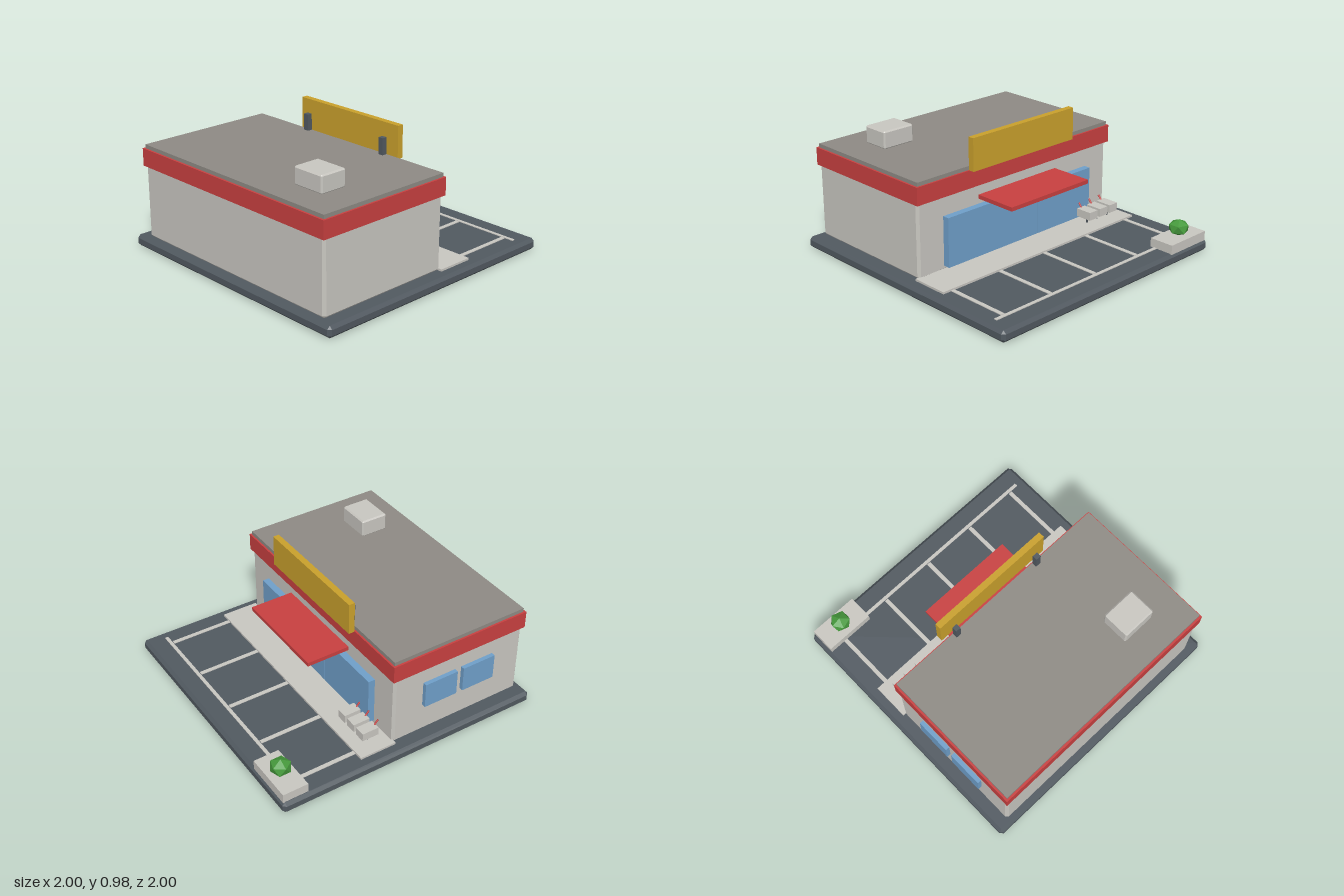
import * as THREE from 'three';
import { ConvexGeometry } from 'three/addons/geometries/ConvexGeometry.js';

const paint = (name, color) => {
  const m = new THREE.MeshStandardMaterial({ color });
  m.name = name;
  return m;
};

export function createModel() {
  const asphalt = paint('asphalt', 0x515960);
  const concrete = paint('concrete', 0xc8c6c0);
  const roofGrey = paint('roofGrey', 0x8e8a84);
  const red = paint('red', 0xc84040);
  const yellow = paint('yellow', 0xc9a02c);
  const glass = paint('glass', 0x6f9fc9);
  const green = paint('green', 0x469a3c);
  green.flatShading = true;

  const model = new THREE.Group();
  model.name = 'cornerStore';

  const add = (name, geometry, material, parent = model) => {
    const mesh = new THREE.Mesh(geometry, material);
    mesh.name = name;
    parent.add(mesh);
    return mesh;
  };

  // Box given by its limits on each axis, with optionally chamfered edges
  const block = (name, material, [x0, x1], [y0, y1], [z0, z1], chamfer = 0, parent = model) => {
    const size = [x1 - x0, y1 - y0, z1 - z0];
    let geometry;
    if (chamfer) {
      const points = [];
      for (const sx of [-1, 1]) for (const sy of [-1, 1]) for (const sz of [-1, 1])
        for (let axis = 0; axis < 3; axis++) {
          const p = [sx, sy, sz].map((s, i) => s * (size[i] / 2 - (i === axis ? 0 : chamfer)));
          points.push(new THREE.Vector3(...p));
        }
      geometry = new ConvexGeometry(points);
    } else geometry = new THREE.BoxGeometry(...size);
    const mesh = add(name, geometry, material, parent);
    mesh.position.set((x0 + x1) / 2, (y0 + y1) / 2, (z0 + z1) / 2);
    return mesh;
  };

  // Ground slab and pavement
  block('groundSlab', asphalt, [-1, 1], [0, 0.085], [-1, 1], 0.022);
  block('sidewalk', concrete, [-0.922, 0.922], [0.08, 0.1], [-0.365, -0.09]);

  // Parking bay markings
  for (let i = -2; i <= 2; i++)
    block('bayLine', concrete, [i * 0.421 - 0.015, i * 0.421 + 0.015], [0.08, 0.09], [-0.83, -0.36]);
  block('kerbLine', concrete, [-0.922, 0.922], [0.08, 0.09], [-0.86, -0.835]);

  // Building shell
  block('walls', concrete, [-0.9, 0.9], [0.083, 0.64], [-0.1, 0.95], 0.018);
  block('fasciaBand', red, [-0.912, 0.912], [0.615, 0.742], [-0.117, 0.963]);
  block('roof', roofGrey, [-0.898, 0.898], [0.73, 0.77], [-0.104, 0.948]);
  block('roofUnit', concrete, [0.397, 0.652], [0.768, 0.897], [0.53, 0.735], 0.01);

  // Sign board on two posts
  block('signBoard', yellow, [-0.473, 0.473], [0.75, 0.983], [-0.17, -0.125]);
  for (const x of [-0.37, 0.37])
    block('signPost', asphalt, [x - 0.02, x + 0.02], [0.765, 0.89], [-0.102, -0.065]);

  // Storefront glazing, side windows and awning
  block('shopWindow', glass, [-0.148, 0.682], [0.12, 0.477], [-0.15, -0.09]);
  block('shopWindow', glass, [-0.682, -0.154], [0.12, 0.477], [-0.15, -0.09]);
  for (const z of [0.262, 0.572])
    block('sideWindow', glass, [-0.93, -0.88], [0.31, 0.497], [z - 0.13, z + 0.13]);
  block('awning', red, [-0.367, 0.367], [0.513, 0.542], [-0.42, -0.09]);

  // Row of shopping carts
  for (const x of [-0.793, -0.687, -0.58]) {
    const cart = new THREE.Group();
    cart.name = 'shoppingCart';
    cart.position.set(x, 0, -0.23);
    model.add(cart);
    block('basket', concrete, [-0.04, 0.04], [0.143, 0.203], [-0.063, 0.063], 0, cart);
    const leg = add('leg', new THREE.CylinderGeometry(0.006, 0.006, 0.05, 8), asphalt, cart);
    leg.position.y = 0.122;
    const handle = add('handle', new THREE.CylinderGeometry(0.006, 0.006, 0.05, 8), red, cart);
    handle.position.set(0, 0.213, 0.068);
    handle.rotation.x = 0.7;
  }

  // Corner planter with a faceted bush
  block('planter', concrete, [-0.975, -0.608], [0.08, 0.15], [-0.99, -0.803]);
  const bushShape = new THREE.IcosahedronGeometry(1, 0);
  bushShape.rotateZ(Math.atan(2 / (1 + Math.sqrt(5))));
  bushShape.scale(0.078, 0.06, 0.078);
  add('bush', bushShape, green).position.set(-0.793, 0.205, -0.897);

  return model;
}
